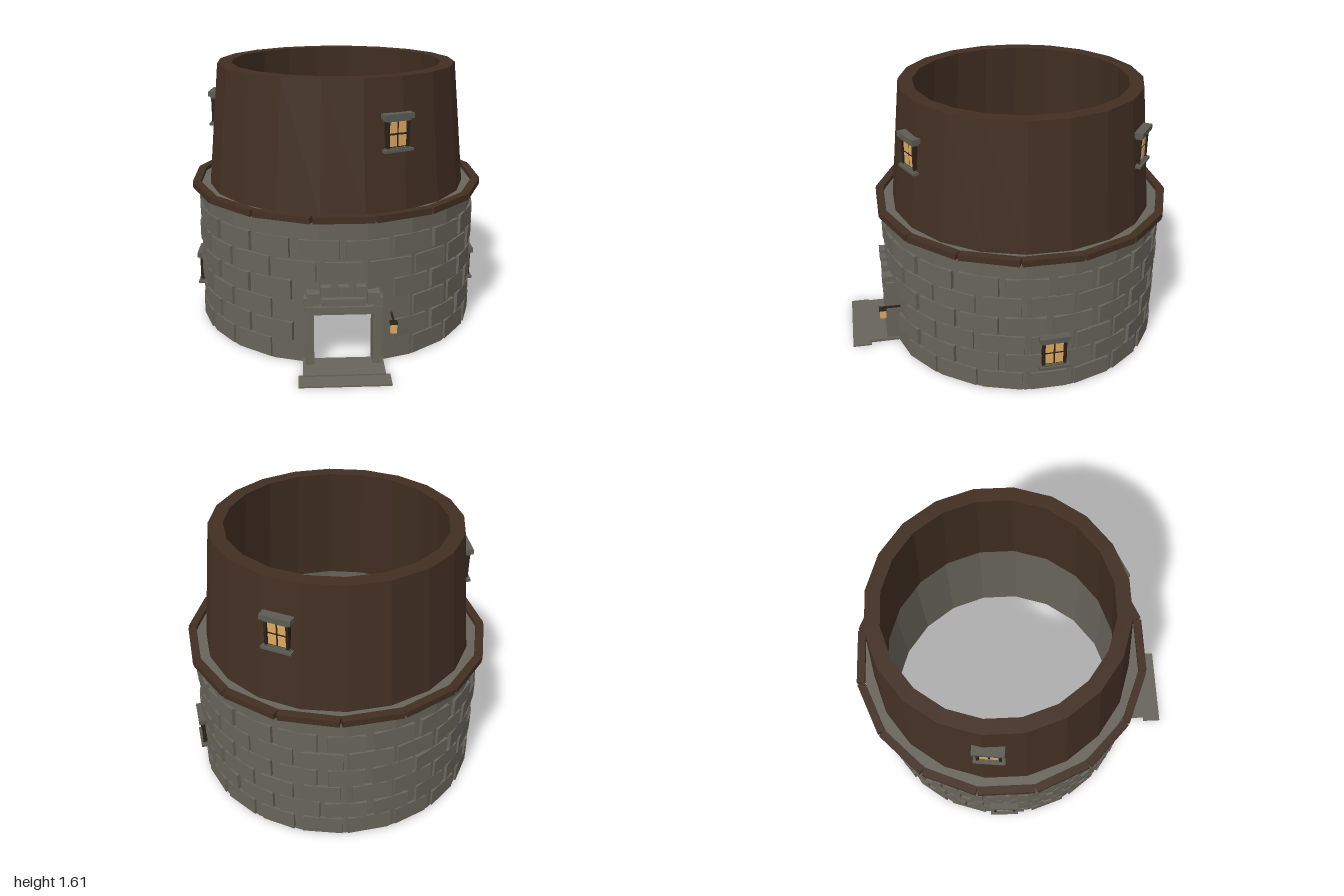
import * as THREE from 'three';

const mat = (name, hex) => Object.assign(new THREE.MeshStandardMaterial({ color: hex }), { name });

export function createModel() {
  const stone = mat('stone', 0x67645a);
  const trim = mat('trimStone', 0x5b5b53);
  const wood = mat('brownWood', 0x422f23);
  const darkWood = mat('darkWood', 0x2c2119);
  const glow = mat('warmGlass', 0xdca860);

  const model = new THREE.Group();
  model.name = 'roundTower';
  const tower = new THREE.Group();
  tower.name = 'tower';
  tower.position.z = -0.11;
  model.add(tower);

  const SIDES = 20, STEP = (Math.PI * 2) / SIDES, HALF = STEP / 2;
  const WALL_OUT = 0.86, WALL_IN = 0.775, DOOR_X = 0.165, DOOR_H = 0.33;

  function add(parent, name, geo, material) {
    let g = geo;
    if (g.index) {
      g = g.toNonIndexed();
      g.computeVertexNormals();
    }
    const mesh = new THREE.Mesh(g, material);
    mesh.name = name;
    parent.add(mesh);
    return mesh;
  }
  // box given by its centre x, bottom y, and back and front z
  function box(parent, name, material, x, w, y0, y1, z0, z1) {
    const m = add(parent, name, new THREE.BoxGeometry(w, y1 - y0, z1 - z0), material);
    m.position.set(x, (y0 + y1) / 2, (z0 + z1) / 2);
    return m;
  }
  // hollow faceted ring: outer and inner radius at bottom and top
  function ring(name, material, y0, o0, i0, y1, o1, i1, start = HALF, count = SIDES) {
    const profile = [[o0, y0], [o1, y1], [i1, y1], [i0, y0], [o0, y0]].map(p => new THREE.Vector2(...p));
    return add(tower, name, new THREE.LatheGeometry(profile, count, start, count * STEP), material);
  }

  // stone base, with the doorway left open at the front
  ring('upperStoneWall', stone, DOOR_H, WALL_OUT, WALL_IN, 0.87, WALL_OUT, WALL_IN);
  ring('lowerStoneWall', stone, 0, WALL_OUT, WALL_IN, DOOR_H, WALL_OUT, WALL_IN, HALF * 3, SIDES - 3);
  for (const s of [-1, 1]) {
    const edge = r => {
      const a = [r * Math.sin(HALF), r * Math.cos(HALF)];
      const b = [r * Math.sin(HALF * 3), r * Math.cos(HALF * 3)];
      const t = (DOOR_X - a[0]) / (b[0] - a[0]);
      return [[DOOR_X, a[1] + (b[1] - a[1]) * t], b];
    };
    const [o, i] = [edge(WALL_OUT), edge(WALL_IN)];
    const shape = new THREE.Shape([o[0], o[1], i[1], i[0]].map(p => new THREE.Vector2(p[0] * s, p[1])));
    const geo = new THREE.ExtrudeGeometry(shape, { depth: DOOR_H, bevelEnabled: false });
    geo.rotateX(Math.PI / 2).translate(0, DOOR_H, 0);
    add(tower, 'wallBesideDoor', geo, stone);
  }

  // raised masonry blocks in running bond
  let seed = 7;
  const rand = () => (seed = (seed * 16807) % 2147483647) / 2147483647;
  const blocks = new THREE.Group();
  blocks.name = 'masonryBlocks';
  tower.add(blocks);
  for (let row = 0; row < 6; row++) {
    const y0 = 0.008 + row * 0.126;
    for (let i = 0; i < SIDES; i++) {
      const a = (i + (row % 2) * 0.5) * STEP;
      const w = 0.2 + rand() * 0.05, h = 0.108 + rand() * 0.012;
      const x = 0.86 * Math.sin(a);
      if (Math.cos(a) > 0 && Math.abs(x) < 0.3 && y0 < 0.45) continue;
      const pivot = new THREE.Group();
      pivot.name = 'block';
      pivot.rotation.y = a;
      blocks.add(pivot);
      box(pivot, 'blockFace', stone, 0, w, y0, y0 + h, 0.82, 0.861 + rand() * 0.004);
    }
  }

  // tapered wooden upper storey
  ring('upperStorey', wood, 0.865, 0.797, 0.71, 1.61, 0.724, 0.639);

  // ledge of straight planks around the top of the stone
  for (let i = 0; i < 16; i++) {
    const pivot = new THREE.Group();
    pivot.name = 'ledge';
    pivot.rotation.y = (i * Math.PI) / 8;
    tower.add(pivot);
    box(pivot, 'ledgePlank', wood, 0, 0.337, 0.857, 0.895, 0.842, 0.89);
  }

  // window: frame, four panes, lintel and sill
  function addWindow(name, angle, c, front) {
    const g = new THREE.Group();
    g.name = name;
    g.rotation.y = angle;
    tower.add(g);
    box(g, 'windowBack', darkWood, 0, 0.13, c - 0.08, c + 0.08, front - 0.05, front - 0.008);
    for (const sx of [-1, 1]) {
      box(g, 'windowJamb', darkWood, sx * 0.063, 0.016, c - 0.08, c + 0.08, front - 0.05, front + 0.004);
      for (const sy of [-1, 1]) {
        const y = c + sy * 0.037;
        box(g, 'pane', glow, sx * 0.029, 0.047, y - 0.031, y + 0.031, front - 0.01, front - 0.004);
      }
    }
    box(g, 'lintel', trim, 0, 0.15, c + 0.072, c + 0.088, front - 0.05, front + 0.008);
    box(g, 'lintelCap', trim, 0, 0.18, c + 0.085, c + 0.115, front - 0.05, front + 0.018);
    box(g, 'sill', trim, 0, 0.18, c - 0.097, c - 0.082, front - 0.05, front + 0.018);
    box(g, 'sillSupport', trim, 0, 0.15, c - 0.084, c - 0.074, front - 0.05, front + 0.006);
  }
  for (let i = 0; i < 3; i++) addWindow('upperWindow', ((23.5 + i * 120) * Math.PI) / 180, 1.303, 0.768);
  for (const s of [-1, 1]) addWindow('lowerWindow', s * (Math.PI / 2 + 0.027), 0.262, 0.882);

  // doorway with stepped stones on top
  const door = new THREE.Group();
  door.name = 'doorway';
  tower.add(door);
  for (const s of [-1, 1]) {
    box(door, 'doorJamb', stone, s * 0.19, 0.05, 0, DOOR_H, 0.79, 0.895);
    box(door, 'shoulderStone', stone, s * 0.168, 0.07, 0.385, 0.455, 0.8, 0.9);
    box(door, 'archStone', stone, s * 0.097, 0.058, 0.432, 0.49, 0.8, 0.895);
    box(door, 'cornerStone', stone, s * 0.195, 0.05, 0.365, 0.42, 0.8, 0.885);
  }
  box(door, 'doorLintel', stone, 0, 0.43, 0.325, 0.37, 0.79, 0.895);
  box(door, 'archBacking', stone, 0, 0.25, 0.37, 0.41, 0.8, 0.88);
  box(door, 'keystone', stone, 0, 0.058, 0.44, 0.49, 0.8, 0.895);
  box(door, 'threshold', stone, 0, 0.46, 0.002, 0.018, 0.82, 1.01);
  box(door, 'frontStep', stone, 0, 0.51, 0, 0.009, 0.995, 1.11);

  // lantern beside the door
  const lantern = new THREE.Group();
  lantern.name = 'lantern';
  lantern.position.x = 0.278;
  tower.add(lantern);
  box(lantern, 'lanternGlass', glow, 0, 0.036, 0.22, 0.274, 0.892, 0.93);
  box(lantern, 'lanternCap', darkWood, 0, 0.044, 0.274, 0.282, 0.888, 0.934);
  box(lantern, 'lanternBracket', darkWood, 0, 0.01, 0.282, 0.292, 0.8, 0.916);

  return model;
}
